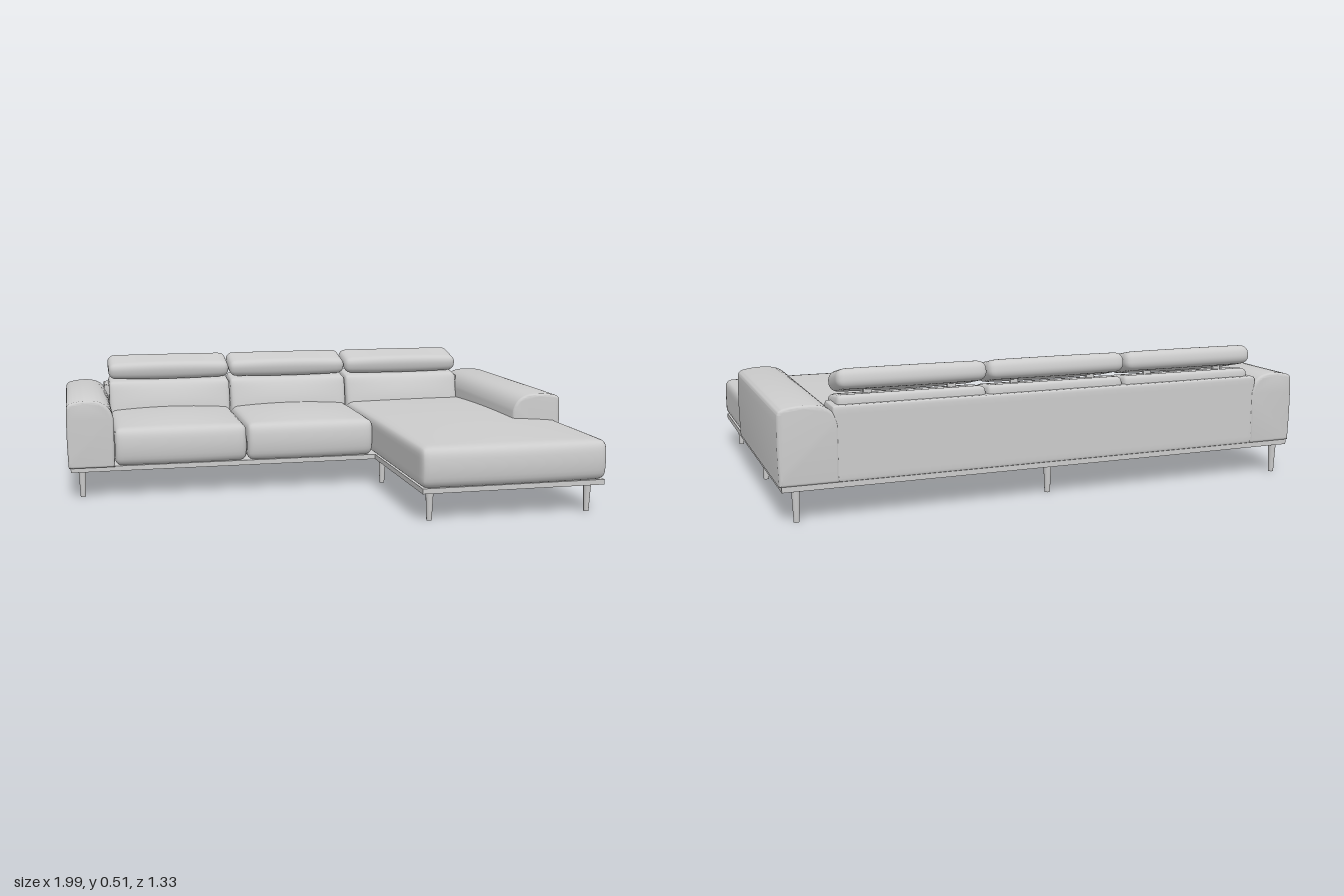
import * as THREE from 'three';
import { mergeVertices, toCreasedNormals } from 'three/addons/utils/BufferGeometryUtils.js';

const material = new THREE.MeshStandardMaterial({ color: 0xcccccc });

function add(parent, name, geometry) {
  const mesh = new THREE.Mesh(geometry, material);
  mesh.name = name;
  parent.add(mesh);
  return mesh;
}

// Soft rounded block centred on its own origin; bulge(p, u, v, w) pushes points, u v w run -1..1
function cushion(size, r, bulge) {
  let geo = new THREE.BoxGeometry(2, 2, 2, 24, 14, 24);
  geo.deleteAttribute('uv');
  geo.deleteAttribute('normal');
  geo = mergeVertices(geo);
  const half = new THREE.Vector3(...size).multiplyScalar(0.5);
  const inner = half.clone().subScalar(r);
  const outer = inner.clone().negate();
  const pos = geo.attributes.position;
  const p = new THREE.Vector3();
  const c = new THREE.Vector3();
  for (let i = 0; i < pos.count; i++) {
    p.fromBufferAttribute(pos, i);
    // crowd the grid lines towards the edges
    p.set(...p.toArray().map(t => Math.sin(t * Math.PI / 2))).multiply(half);
    c.copy(p).clamp(outer, inner);
    p.sub(c).normalize().multiplyScalar(r).add(c);
    bulge(p, p.x / half.x, p.y / half.y, p.z / half.z);
    pos.setXYZ(i, p.x, p.y, p.z);
  }
  geo.computeVertexNormals();
  return geo;
}

// Cushion given by its limits on each axis
function cushionBetween(parent, name, [x0, x1], [y0, y1], [z0, z1], r, bulge) {
  const mesh = add(parent, name, cushion([x1 - x0, y1 - y0, z1 - z0], r, bulge));
  mesh.position.set((x0 + x1) / 2, (y0 + y1) / 2, (z0 + z1) / 2);
  return mesh;
}

const dome = (a, b) => (1 - a * a) * (1 - b * b);

// Crowned top and a full, rounded front
function seatBulge(p, u, v, w) {
  if (v > 0) p.y += 0.022 * v * dome(u, w);
  if (w > 0) p.z += w * (0.012 * (1 - u * u) + 0.014 * (1 - v * v) - 0.008);
}

// Front leans back, top rises slightly towards the rear
function backBulge(p, u, v, w) {
  if (w > 0) p.z += w * (0.018 * dome(u, v) - 0.025 * v);
  if (v > 0) p.y -= 0.01 * w * v;
}

function headrestBulge(p, u, v, w) {
  p.y += 0.003 * v * (1 - u * u) * (1 + w);
}

// Arm: small outer corner, large inner shoulder; side is +1 for the model's left
function arm(parent, name, side, inside, z0, z1) {
  const out = 0.998;
  const bottom = 0.128;
  const s = new THREE.Shape();
  s.moveTo(side * (out - 0.006), bottom);
  s.quadraticCurveTo(side * out, 0.25, side * (out - 0.004), 0.365);
  s.quadraticCurveTo(side * (out - 0.004), 0.387, side * (out - 0.03), 0.391);
  s.quadraticCurveTo(side * (out - 0.08), 0.402, side * (inside + 0.07), 0.395);
  s.quadraticCurveTo(side * (inside + 0.012), 0.386, side * inside, 0.325);
  s.lineTo(side * inside, bottom);
  s.closePath();
  const bevel = 0.012;
  const geo = new THREE.ExtrudeGeometry(s, {
    depth: z1 - z0 - 2 * bevel, curveSegments: 10,
    bevelSize: bevel, bevelThickness: bevel, bevelOffset: -bevel, bevelSegments: 4
  });
  geo.translate(0, 0, z0 + bevel);
  add(parent, name, toCreasedNormals(geo, 0.7));
}

export function createModel() {
  const sofa = new THREE.Group();
  sofa.name = 'cornerSofa';

  // L-shaped base plate
  const plan = new THREE.Shape([
    [-0.985, 0.655], [0.985, 0.655], [0.985, -0.635],
    [0.265, -0.635], [0.265, 0.005], [-0.985, 0.005]
  ].map(([x, y]) => new THREE.Vector2(x, y)));
  const plate = new THREE.ExtrudeGeometry(plan, { depth: 0.02, bevelEnabled: false });
  plate.rotateX(-Math.PI / 2).translate(0, 0.11, 0);
  add(sofa, 'basePlate', plate);

  // Tapered legs
  const legGeometry = new THREE.CylinderGeometry(0.015, 0.01, 0.112, 16);
  const legs = [
    [-0.94, -0.63], [0.005, -0.59], [0.935, -0.63], [-0.94, -0.055],
    [0.305, -0.037], [0.935, -0.037], [0.305, 0.592], [0.935, 0.592]
  ];
  legs.forEach(([x, z], i) => add(sofa, `leg${i + 1}`, legGeometry).position.set(x, 0.056, z));

  // Arms
  arm(sofa, 'rightArm', -1, 0.812, -0.662, 0.012);
  arm(sofa, 'leftArm', 1, 0.79, -0.662, 0.208);

  // Back frame
  cushionBetween(sofa, 'backFrame', [-0.83, 0.81], [0.128, 0.388], [-0.66, -0.53], 0.01, () => {});

  // Seats; the chaise runs on beneath the arm
  const bays = [[-0.81, -0.279], [-0.275, 0.254], [0.258, 0.79]];
  bays.slice(0, 2).forEach((bay, i) =>
    cushionBetween(sofa, `seatCushion${i + 1}`, bay, [0.128, 0.28], [-0.56, 0.002], 0.028, seatBulge));
  cushionBetween(sofa, 'chaiseCushion', [0.258, 0.99], [0.128, 0.283], [-0.56, 0.645], 0.03, seatBulge);

  // Back cushions, each with an adjustable headrest on two brackets
  bays.forEach((bay, i) => {
    const middle = (bay[0] + bay[1]) / 2;
    cushionBetween(sofa, `backCushion${i + 1}`, bay, [0.2, 0.41], [-0.638, -0.465], 0.022, backBulge);
    const headrest = add(sofa, `headrest${i + 1}`,
      cushion([bay[1] - bay[0], 0.07, 0.168], 0.031, headrestBulge));
    headrest.position.set(middle, 0.459, -0.571);
    headrest.rotation.x = 0.23;
    for (const side of [-1, 1]) {
      add(sofa, 'headrestBracket', new THREE.BoxGeometry(0.03, 0.07, 0.012))
        .position.set(middle + side * 0.15, 0.42, -0.59);
    }
  });

  return sofa;
}
